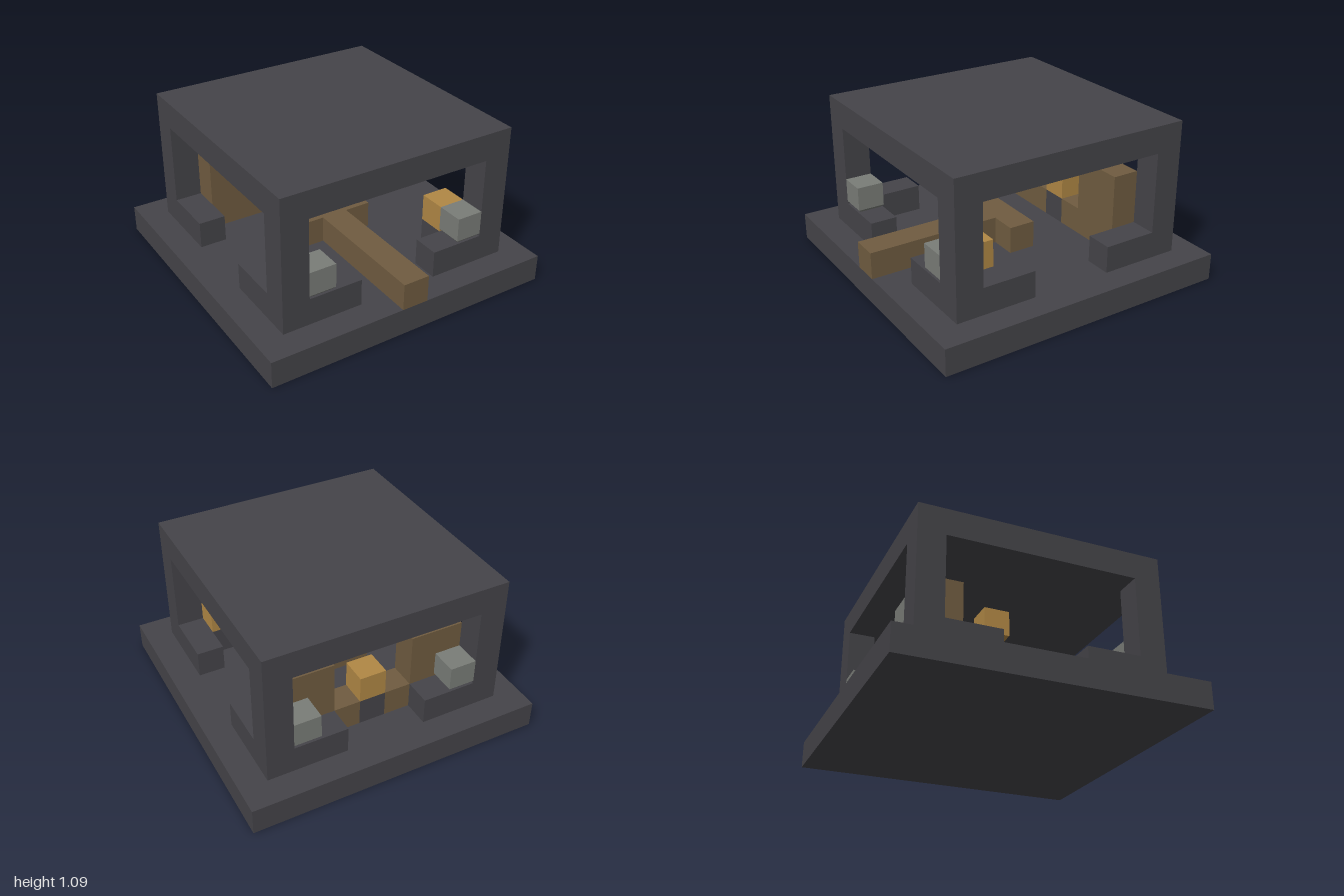
import * as THREE from 'three';

const U = 2 / 11; // grid cell

const mat = (name, color) => {
  const m = new THREE.MeshStandardMaterial({ color });
  m.name = name;
  return m;
};

export function createModel() {
  const stone = mat('dark stone', 0x454449);
  const wood = mat('brown wood', 0x705c40);
  const gold = mat('gold', 0xb18845);
  const grey = mat('grey stone', 0x7a7d78);
  const model = new THREE.Group();

  // box filling the cells from (x0,y0,z0) to (x1,y1,z1) inclusive; x and z count from the centre cell
  const block = (name, material, [x0, y0, z0], [x1, y1, z1] = [x0, y0, z0]) => {
    const geo = new THREE.BoxGeometry((x1 - x0 + 1) * U, (y1 - y0 + 1) * U, (z1 - z0 + 1) * U);
    const mesh = new THREE.Mesh(geo, material);
    mesh.position.set((x0 + x1) / 2 * U, (y0 + y1 + 1) / 2 * U, (z0 + z1) / 2 * U);
    mesh.name = name;
    model.add(mesh);
  };

  // cube with its lower edges cut off
  const potBox = new THREE.BoxGeometry(U, U, U, 1, 2, 1);
  const p = potBox.attributes.position;
  for (let i = 0; i < p.count; i++) {
    if (Math.abs(p.getY(i)) < 0.01) p.setY(i, -U / 2 + 0.02);
    else if (p.getY(i) < 0) {
      p.setX(i, p.getX(i) * 0.8);
      p.setZ(i, p.getZ(i) * 0.8);
    }
  }
  const potGeo = potBox.toNonIndexed();
  potGeo.computeVertexNormals();

  // floor and roof slabs
  block('base', stone, [-5, 0, -5], [5, 0, 5]);
  block('roof', stone, [-4, 5, -4], [4, 5, 4]);

  // corner pillars, L-shaped low walls and the grey pots on them
  for (const sx of [-1, 1]) for (const sz of [-1, 1]) {
    block('pillar', stone, [4 * sx, 1, 4 * sz], [4 * sx, 4, 4 * sz]);
    const ax = sx > 0 ? 2 : -3, az = sz > 0 ? 2 : -3;
    block('lowWallAcross', stone, [ax, 1, 4 * sz], [ax + 1, 1, 4 * sz]);
    block('lowWallAlong', stone, [4 * sx, 1, az], [4 * sx, 1, az + 1]);
    const pot = new THREE.Mesh(potGeo, grey);
    pot.position.set(3 * sx * U, 2.5 * U, 4 * sz * U);
    pot.name = 'pot';
    model.add(pot);
  }

  // T-shaped wooden beam on the floor
  block('beam', wood, [0, 1, 1], [0, 1, 5]);
  block('crossBeam', wood, [-1, 1, 0], [1, 1, 0]);

  // rear furniture: tall cabinets and counters around a stone stand
  for (const s of [-1, 1]) {
    const x = s > 0 ? 2 : -3;
    block('cabinet', wood, [x, 1, -3], [x + 1, 3, -3]);
    block('counter', wood, [s, 1, -3]);
  }
  block('rearStand', stone, [0, 1, -3]);
  block('rearGoldCube', gold, [0, 2, -3]);

  // gold cube in the front left corner, and the hanging lantern
  block('cornerStand', stone, [3, 1, 3]);
  block('cornerGoldCube', gold, [3, 2, 3]);
  block('lantern', gold, [0, 4, 0]);

  return model;
}
